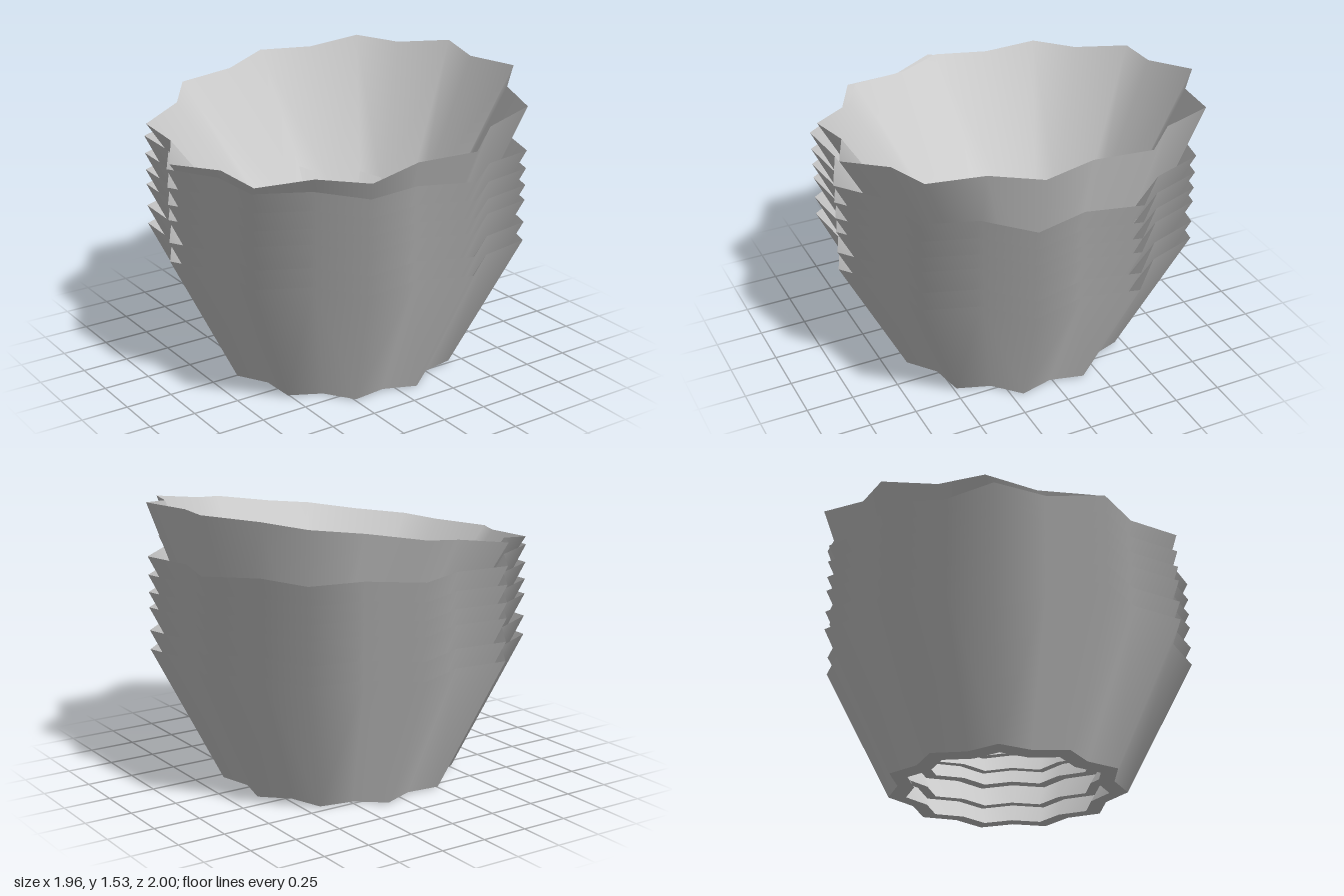
import * as THREE from 'three';

const LOBES = 11;
const SEGMENTS = LOBES * 2;
const VALLEY = 0.89; // valley radius relative to the lobe tips
const HEIGHT = 0.74;

// Skin a list of [radius, y] star-shaped cross-sections; a rising profile faces outward.
function flutedSurface(profile) {
  const positions = [];
  const index = [];
  for (const [radius, y] of profile) {
    for (let i = 0; i < SEGMENTS; i++) {
      const angle = Math.PI + (i / SEGMENTS) * Math.PI * 2;
      const r = radius * (i % 2 ? VALLEY : 1);
      positions.push(r * Math.cos(angle), y, r * Math.sin(angle));
    }
  }
  for (let ring = 0; ring < profile.length - 1; ring++) {
    for (let i = 0; i < SEGMENTS; i++) {
      const next = (i + 1) % SEGMENTS;
      const a = ring * SEGMENTS + i;
      const b = ring * SEGMENTS + next;
      const c = a + SEGMENTS;
      const d = b + SEGMENTS;
      // Mirrored diagonals keep the shading of each flute symmetric
      if (i % 2) index.push(a, c, b, b, c, d);
      else index.push(a, c, d, a, d, b);
    }
  }
  const geometry = new THREE.BufferGeometry();
  geometry.setAttribute('position', new THREE.Float32BufferAttribute(positions, 3));
  geometry.setIndex(index);
  geometry.computeVertexNormals();
  return geometry;
}

export function createModel() {
  const model = new THREE.Group();
  model.name = 'cupStack';
  const material = new THREE.MeshStandardMaterial({ color: 0xcccccc, side: THREE.DoubleSide });

  // Separate skins keep the rim and foot edges sharp
  const outerWall = flutedSurface([[0.625, 0.006], [0.995, HEIGHT]]);
  const baseRing = flutedSurface([[0.53, 0], [0.625, 0.006]]);
  const openInner = flutedSurface([[0.995, HEIGHT], [0.53, 0]]);
  const flooredInner = flutedSurface([[0.995, HEIGHT], [0.53, 0], [0.44, 0], [0, 0]]);

  function addCup(name, innerGeometry) {
    const cup = new THREE.Group();
    cup.name = name;
    const parts = { outerWall, baseRing, innerWall: innerGeometry };
    for (const [part, geometry] of Object.entries(parts)) {
      const mesh = new THREE.Mesh(geometry, material);
      mesh.name = part;
      cup.add(mesh);
    }
    model.add(cup);
    return cup;
  }

  // Upright nested cups with open bases, placed by rim height
  [0.74, 0.84, 0.96, 1.04, 1.13, 1.225].forEach((rim, i) => {
    addCup(`nestedCup${i + 1}`, openInner).position.set(0.013, rim - HEIGHT, 0.015);
  });

  // Topmost cup, closed by a floor and leaning to one side
  const axis = new THREE.Vector3(-0.146, 1, 0.035).normalize();
  const topCup = addCup('tiltedTopCup', flooredInner);
  topCup.quaternion.setFromUnitVectors(new THREE.Vector3(0, 1, 0), axis);
  topCup.position.set(0.036, 1.378, -0.015).addScaledVector(axis, -HEIGHT);

  return model;
}
